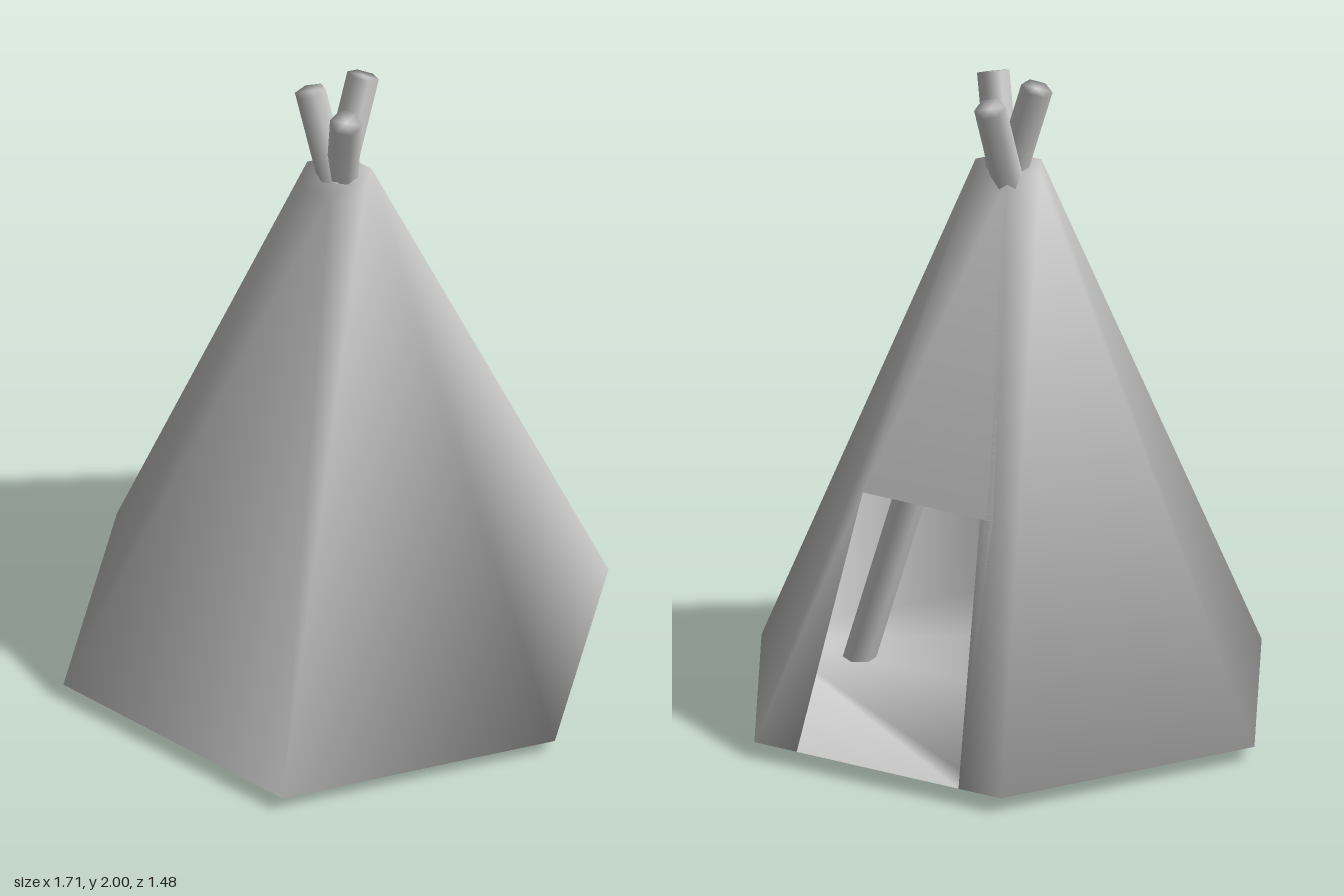
import * as THREE from 'three';
import { mergeVertices } from 'three/addons/utils/BufferGeometryUtils.js';

const BASE_Y = 0.05, TOP_Y = 1.72, BASE_R = 0.853, TOP_R = 0.112;

// Six-sided tent skin with a floor, a cap and a doorway cut in the back panel
function tentGeometry() {
  const points = [], index = [];
  for (const [r, y] of [[BASE_R, BASE_Y], [TOP_R, TOP_Y]]) {
    for (let i = 0; i < 6; i++) {
      const a = i * Math.PI / 3;
      points.push(r * Math.cos(a), y, r * Math.sin(a));
    }
  }
  // Doorway corners lie in the back panel: bottom pair 12, 13, top pair 14, 15
  const doorTop = 0.79;
  const k = (doorTop - BASE_Y) / (TOP_Y - BASE_Y);
  for (const [halfWidth, y, t] of [[0.28, BASE_Y, 0], [0.225, doorTop, k]]) {
    const z = -(BASE_R + (TOP_R - BASE_R) * t) * Math.sin(Math.PI / 3);
    points.push(-halfWidth, y, z, halfWidth, y, z);
  }
  const face = (...v) => {
    for (let i = 1; i < v.length - 1; i++) index.push(v[0], v[i], v[i + 1]);
  };
  // Side panels, skipping the back
  for (let i = 0; i < 6; i++) {
    const j = (i + 1) % 6;
    if (i !== 4) face(j, i, i + 6, j + 6);
  }
  // Back panel around the doorway
  face(5, 13, 15, 11);
  face(12, 4, 10, 14);
  face(15, 14, 10, 11);
  // Floor and cap
  face(0, 1, 2, 3, 4, 12, 13, 5);
  face(11, 10, 9, 8, 7, 6);

  const g = new THREE.BufferGeometry();
  g.setAttribute('position', new THREE.Float32BufferAttribute(points, 3));
  g.setIndex(index);
  g.computeVertexNormals();
  return g;
}

// Closed six-sided pole between two points, softly shaded over its ends
function pole(name, from, to, material) {
  const a = new THREE.Vector3(...from), b = new THREE.Vector3(...to);
  const dir = b.clone().sub(a);
  let g = new THREE.CylinderGeometry(0.048, 0.048, dir.length(), 6);
  g.deleteAttribute('uv');
  g.deleteAttribute('normal');
  g = mergeVertices(g);
  g.computeVertexNormals();
  const mesh = new THREE.Mesh(g, material);
  mesh.name = name;
  mesh.position.copy(a).add(b).multiplyScalar(0.5);
  mesh.quaternion.setFromUnitVectors(new THREE.Vector3(0, 1, 0), dir.normalize());
  return mesh;
}

export function createModel() {
  const group = new THREE.Group();
  group.name = 'tent';
  const cloth = new THREE.MeshStandardMaterial({ color: 0xcccccc, side: THREE.DoubleSide });
  const wood = new THREE.MeshStandardMaterial({ color: 0xcccccc });

  const skin = new THREE.Mesh(tentGeometry(), cloth);
  skin.name = 'tentSkin';
  group.add(skin);

  // Three poles crossing at the top
  group.add(
    pole('leftPole', [0.525, 0.015, 0], [-0.1, 1.988, 0], wood),
    pole('frontPole', [0.02, 0.06, 0.63], [-0.045, 1.972, -0.175], wood),
    pole('backPole', [-0.45, 0.045, -0.45], [0.082, 1.988, 0.05], wood),
  );
  return group;
}
